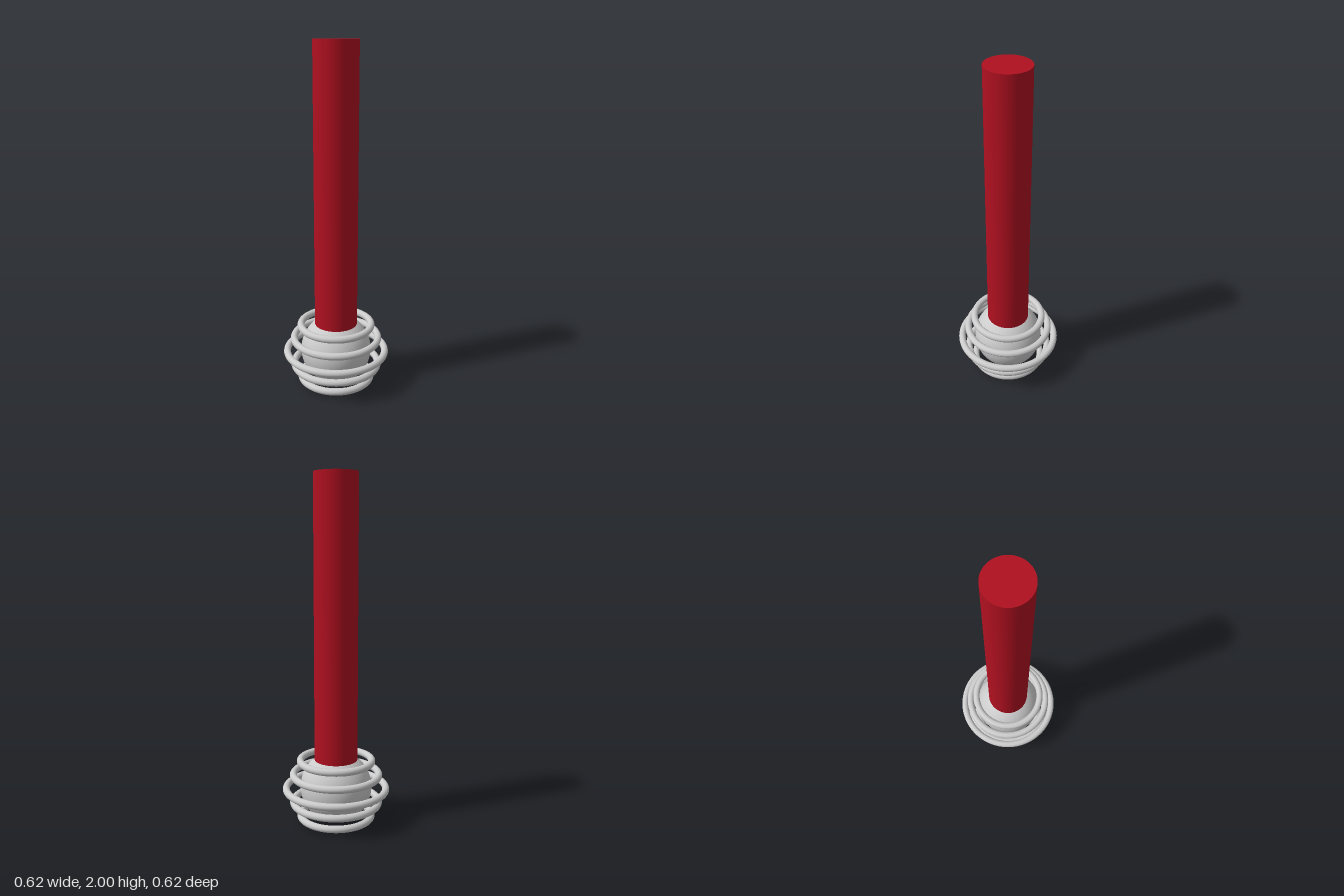
import * as THREE from 'three';

export function createModel() {
  const model = new THREE.Group();
  const grey = new THREE.MeshStandardMaterial({ color: 0xcccccc });
  const red = new THREE.MeshStandardMaterial({ color: 0xb01020 });

  const add = (name, geometry, material, y) => {
    const mesh = new THREE.Mesh(geometry, material);
    mesh.name = name;
    mesh.position.y = y;
    model.add(mesh);
    return mesh;
  };

  // Tall rod, its lower end sunk into the ball
  const rodBottom = 0.35, rodTop = 2;
  add('rod', new THREE.CylinderGeometry(0.125, 0.125, rodTop - rodBottom, 64), red, (rodTop + rodBottom) / 2);

  // Ball at the foot
  add('ball', new THREE.SphereGeometry(0.2083, 64, 32), grey, 0.2083);

  // Five level rings around the ball, widest in the middle
  for (let i = -2; i <= 2; i++) {
    const radius = 0.2917 - 0.0417 * Math.abs(i);
    const ring = add('ring', new THREE.TorusGeometry(radius, 0.0208, 20, 96), grey, 0.2 + i * 0.0833);
    ring.rotation.x = Math.PI / 2;
  }

  return model;
}
